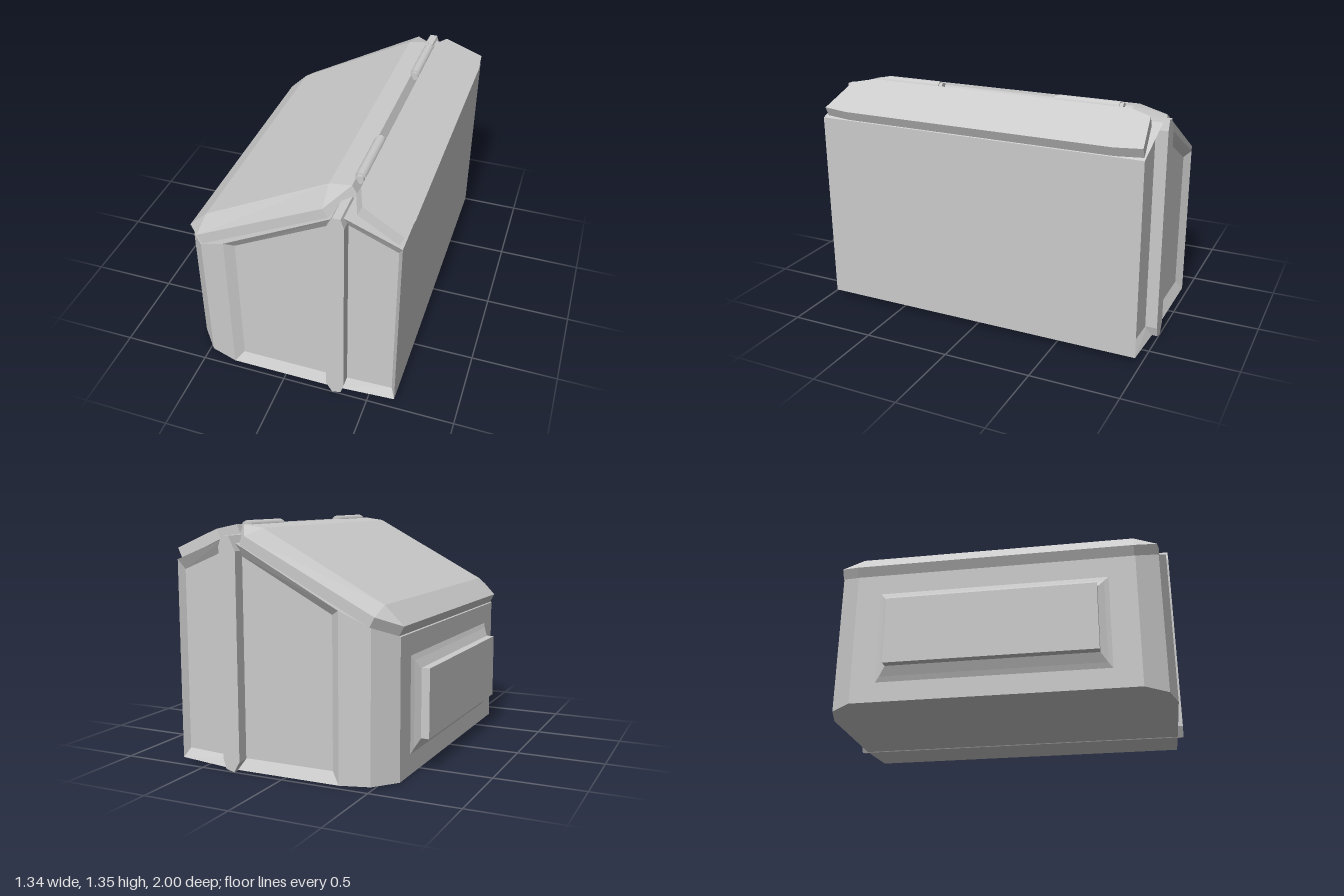
import * as THREE from 'three';

const grey = new THREE.MeshStandardMaterial({ color: 0xcccccc, flatShading: true });

// Closed solid through matching convex rings of [x, y, z]; both ends are capped.
function loft(name, rings) {
  const tris = [];
  const n = rings[0].length;
  for (let r = 0; r < rings.length - 1; r++) {
    for (let i = 0; i < n; i++) {
      const j = (i + 1) % n;
      const [a, b, c, d] = [rings[r][i], rings[r][j], rings[r + 1][j], rings[r + 1][i]];
      tris.push([a, b, c], [a, c, d]);
    }
  }
  const first = rings[0], last = rings[rings.length - 1];
  for (let i = 1; i < n - 1; i++) {
    tris.push([first[0], first[i + 1], first[i]], [last[0], last[i], last[i + 1]]);
  }
  // Turn the faces outward when the enclosed volume comes out negative
  const v = (p) => new THREE.Vector3(...p);
  const volume = tris.reduce((s, [a, b, c]) => s + v(a).dot(v(b).cross(v(c))), 0);
  if (volume < 0) tris.forEach((t) => t.reverse());
  const geometry = new THREE.BufferGeometry();
  geometry.setAttribute('position', new THREE.Float32BufferAttribute(tris.flat(2), 3));
  geometry.computeVertexNormals();
  const mesh = new THREE.Mesh(geometry, grey);
  mesh.name = name;
  return mesh;
}

// Ring at depth z from an x/y outline
const atZ = (outline, z) => outline.map(([x, y]) => [x, y, z]);

// Upright rectangular ring at x
const atX = (x, halfZ, y0, y1) => [[x, y0, -halfZ], [x, y0, halfZ], [x, y1, halfZ], [x, y1, -halfZ]];

// Flat ring at height h from half an outline of [along, z], mirrored in z
const atHeight = (half, h) => [
  ...half.map(([u, z]) => [u, h, z]),
  ...half.map(([u, z]) => [u, h, -z]).reverse(),
];

function lid(name, x, y, slope, rings) {
  const mesh = loft(name, rings);
  mesh.position.set(x, y, -0.005);
  mesh.rotation.z = slope;
  return mesh;
}

export function createModel() {
  const model = new THREE.Group();

  // Main bin, with a bevelled recess in each side
  const outer = [[-0.32, 0.004], [0.3, 0.004], [0.65, 0.03], [0.65, 1.14], [0.335, 1.265], [-0.32, 0.913]];
  const inner = [[-0.27, 0.065], [0.3, 0.065], [0.625, 0.08], [0.625, 1.085], [0.335, 1.205], [-0.27, 0.885]];
  model.add(loft('binBody', [
    atZ(inner, -0.932), atZ(outer, -0.966), atZ(outer, 0.966), atZ(inner, 0.932),
  ]));

  // Narrowing end of the bin with faceted corners
  model.add(loft('binEnd', [
    atX(-0.588, 0.79, 0.004, 0.772),
    atX(-0.48, 0.92, 0.004, 0.828),
    atX(-0.32, 0.966, 0.004, 0.913),
  ]));

  // Rib wrapped round the bin
  const rib = [[0.26, 0.06], [0.295, 0], [0.345, 0.013], [0.362, 0.07],
    [0.362, 1.22], [0.343, 1.275], [0.3, 1.275], [0.26, 1.195]];
  model.add(loft('sideRib', [atZ(rib, -1), atZ(rib, 1)]));

  // Raised panel with a flared base
  const panel = loft('endPanel', [
    atX(-0.585, 0.65, 0.11, 0.66),
    atX(-0.6, 0.62, 0.145, 0.625),
    atX(-0.625, 0.583, 0.195, 0.58),
    atX(-0.672, 0.583, 0.195, 0.58),
  ]);
  panel.position.z = -0.006;
  model.add(panel);

  // Large domed lid
  const rim = [[0, 0.79], [0.12, 0.92], [0.95, 0.95], [1.065, 0.79]];
  const crown = [[0.143, 0.79], [0.143, 0.79], [0.95, 0.79], [0.95, 0.79]];
  model.add(lid('largeLid', -0.58, 0.775, Math.atan(0.53),
    [atHeight(rim, 0), atHeight(rim, 0.06), atHeight(crown, 0.102)]));

  // Small flat lid
  const plate = [[0.01, 0.79], [0.06, 0.915], [0.31, 0.952], [0.327, 0.8]];
  model.add(lid('smallLid', 0.345, 1.277, -Math.atan(0.46),
    [atHeight(plate, 0), atHeight(plate, 0.06)]));

  // Two hinge barrels with end collars between the lids
  const round = new THREE.MeshStandardMaterial({ color: 0xcccccc });
  for (const side of [-1, 1]) {
    const hinge = new THREE.Group();
    hinge.name = side > 0 ? 'frontHinge' : 'rearHinge';
    for (const [r, length, z] of [[0.03, 0.35, 0], [0.024, 0.39, 0]]) {
      const barrel = new THREE.Mesh(new THREE.CylinderGeometry(r, r, length, 16), round);
      barrel.name = 'hingeBarrel';
      barrel.rotation.x = Math.PI / 2;
      barrel.position.z = z;
      hinge.add(barrel);
    }
    hinge.position.set(0.35, 1.318, side * 0.543 - 0.015);
    model.add(hinge);
  }
  return model;
}
